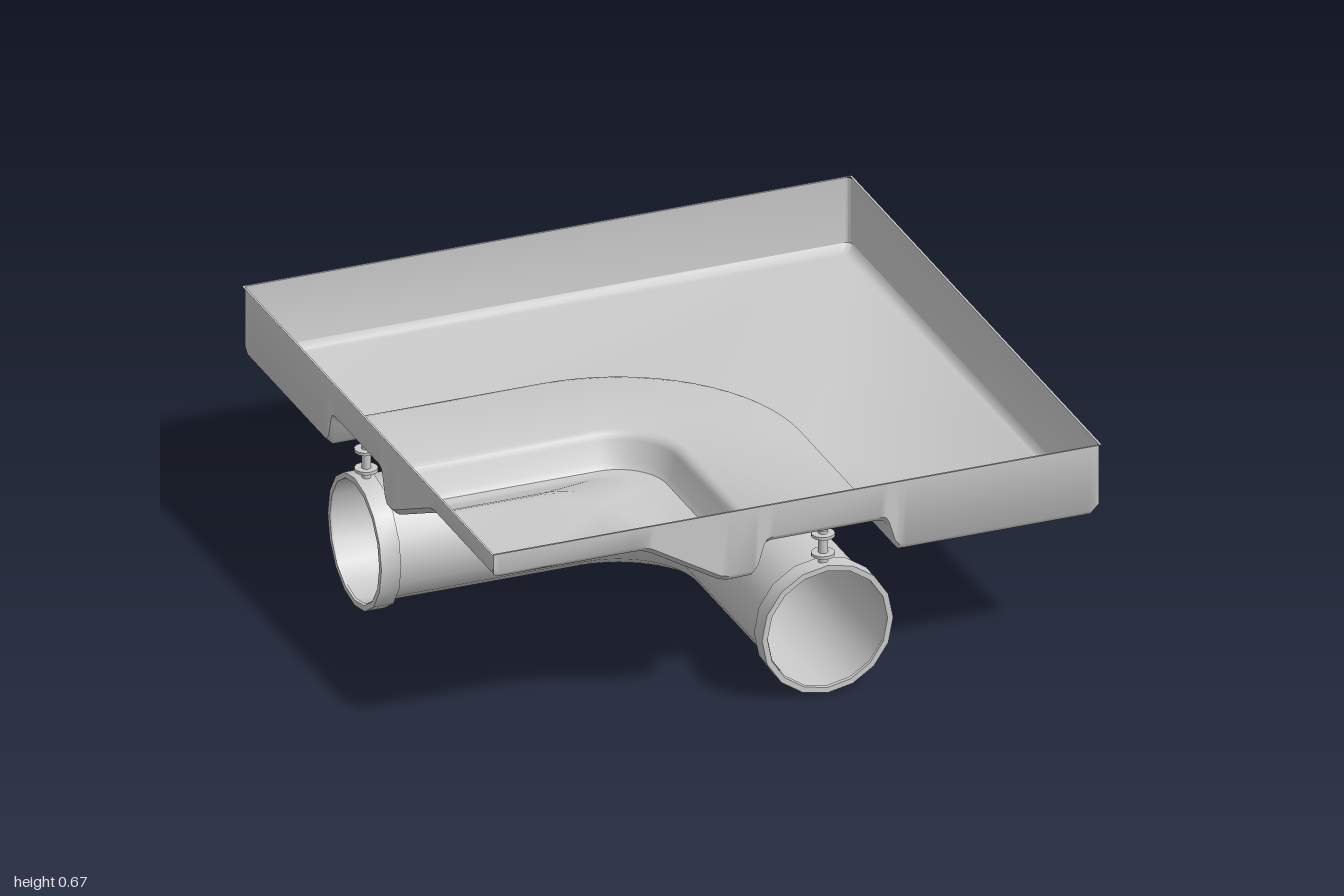
import * as THREE from 'three';
import { toCreasedNormals } from 'three/addons/utils/BufferGeometryUtils.js';

const material = new THREE.MeshStandardMaterial({ color: 0xcccccc, side: THREE.DoubleSide });
const W = 0.993;      // half width of the tray walls
const TOP = 0.67;     // rim height
const BEVEL = 0.02;   // softened edge between floor and walls
const ARC_STEPS = 16;

function addMesh(parent, name, geometry) {
  const mesh = new THREE.Mesh(geometry, material);
  mesh.name = name;
  parent.add(mesh);
  return mesh;
}

// Joins equal-length rows of [x, y, z] points into one surface
function loft(rows, crease) {
  const n = rows[0].length;
  const index = [];
  for (let i = 0; i < rows.length - 1; i++) {
    for (let j = 0; j < n - 1; j++) {
      const a = i * n + j, b = a + n;
      index.push(a, b, a + 1, b, b + 1, a + 1);
    }
  }
  const geometry = new THREE.BufferGeometry();
  geometry.setAttribute('position', new THREE.Float32BufferAttribute(rows.flat(2), 3));
  geometry.setIndex(index);
  return toCreasedNormals(geometry, crease);
}

// One L-shaped contour of the tray: along z = a, round a corner of radius r,
// then along x = b; both ends bend up into the left and front walls
function trayRow([a, b, r, y]) {
  const low = Math.min(TOP, y + BEVEL);
  const inner = W - BEVEL;
  const row = [[-W, TOP, a], [-W, low, a], [Math.min(-inner, b - r), y, a]];
  for (let k = 0; k <= ARC_STEPS; k++) {
    const t = (k / ARC_STEPS) * Math.PI / 2;
    row.push([b - r + r * Math.sin(t), y, a + r - r * Math.cos(t)]);
  }
  row.push([b, y, Math.max(inner, a + r)], [b, low, W], [b, TOP, W]);
  return row;
}

function makeTray() {
  // Raised channel contours, given as distance from the pipe's centre line
  const channel = [
    [0.26, 0.43], [0.24, 0.432], [0.225, 0.45], [0.205, 0.515], [0.195, 0.532], [0.175, 0.538],
    [-0.175, 0.538], [-0.195, 0.532], [-0.205, 0.515], [-0.225, 0.45], [-0.24, 0.432],
  ].map(([d, y]) => [-0.1 - d, 0.1 + d, 0.4 + d, y]);
  const rows = [
    // back and right walls
    [-W, W, 0.02, TOP], [-W, W, 0.02, 0.43 + BEVEL], [-W + BEVEL, W - BEVEL, 0.02, 0.43],
    [-W + 0.04, W - 0.04, 0.03, 0.43],
    ...channel,
    // valley, slope and raised corner
    [0.17, -0.22, 0.12, 0.43], [0.2, -0.25, 0.11, 0.438], [0.47, -0.47, 0.14, 0.568],
    [0.5, -0.5, 0.15, 0.58], [0.53, -0.53, 0.15, 0.582],
    [W - BEVEL, -W + BEVEL, 0, 0.582], [W, -W, 0, 0.6],
  ];
  return loft(rows.map(trayRow), 0.8);
}

// Narrow lip around the top of the walls
function makeRim() {
  const square = (s) => [[-s, -s], [s, -s], [s, s], [-s, s]].map(([x, y]) => new THREE.Vector2(x, y));
  const shape = new THREE.Shape(square(1));
  shape.holes.push(new THREE.Path(square(W)));
  return new THREE.ShapeGeometry(shape).rotateX(-Math.PI / 2).translate(0, TOP, 0);
}

// Bent pipe, open at both ends
function makePipe() {
  const R = 0.195, CY = 0.217, sides = 16;
  const ring = (x, z, t) => Array.from({ length: sides + 1 }, (_, i) => {
    const p = ((i % sides) / sides) * Math.PI * 2;
    const out = R * Math.cos(p);
    return [x + Math.sin(t) * out, CY + R * Math.sin(p), z - Math.cos(t) * out];
  });
  const rings = [ring(-0.995, -0.1, 0)];
  for (let k = 0; k <= ARC_STEPS; k++) {
    const t = (k / ARC_STEPS) * Math.PI / 2;
    rings.push(ring(-0.3 + 0.4 * Math.sin(t), 0.3 - 0.4 * Math.cos(t), t));
  }
  rings.push(ring(0.1, 0.995, Math.PI / 2));
  return loft(rings, 0.8);
}

// Pipe collar with the small hanger bolt above it
function makePipeEnd() {
  const end = new THREE.Group();
  const profile = [[0.197, 0], [0.215, 0], [0.215, 0.065], [0.197, 0.065], [0.197, 0]]
    .map(([x, y]) => new THREE.Vector2(x, y));
  const collar = new THREE.LatheGeometry(profile, 16).rotateX(Math.PI / 2).translate(0, 0, 0.935);
  addMesh(end, 'collar', toCreasedNormals(collar, 0.6));
  const discs = [['hangerFoot', 0.037, 0.01, 0.24], ['hangerStem', 0.015, 0.11, 0.265], ['hangerHead', 0.037, 0.01, 0.305]];
  for (const [name, r, h, y] of discs) {
    addMesh(end, name, new THREE.CylinderGeometry(r, r, h, 12)).position.set(0, y, 0.962);
  }
  return end;
}

export function createModel() {
  const model = new THREE.Group();
  model.name = 'trayWithPipe';
  addMesh(model, 'tray', makeTray());
  addMesh(model, 'trayRim', makeRim());
  addMesh(model, 'pipe', makePipe());

  const frontEnd = makePipeEnd();
  frontEnd.name = 'frontPipeEnd';
  frontEnd.position.set(0.1, 0.215, 0);
  const sideEnd = makePipeEnd();
  sideEnd.name = 'sidePipeEnd';
  sideEnd.rotation.y = -Math.PI / 2;
  sideEnd.position.set(0, 0.215, -0.1);
  model.add(frontEnd, sideEnd);
  return model;
}
